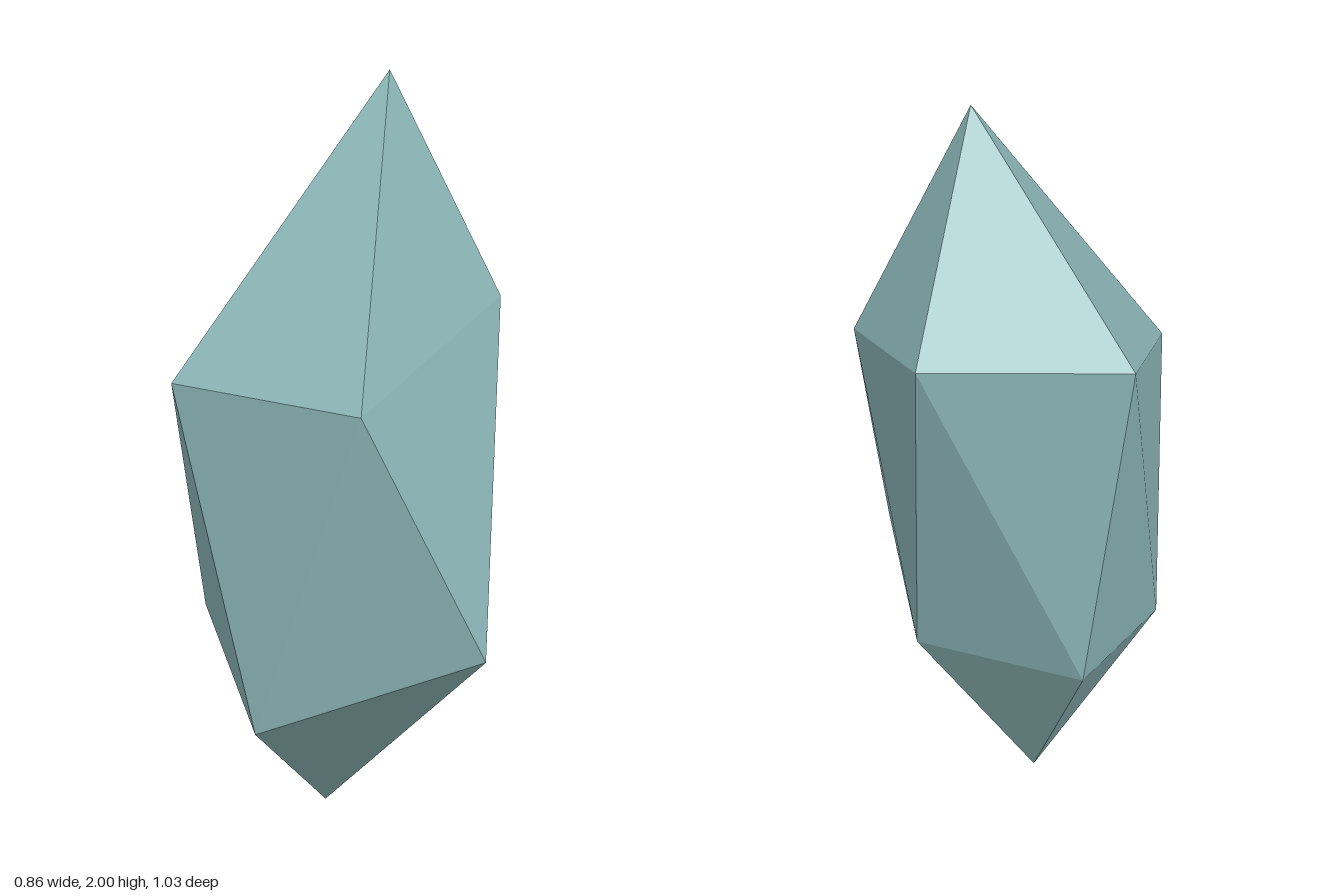
import * as THREE from 'three';

// Crystal: two tips joined by two staggered five-corner rings
export function createModel() {
  const top = [0.035, 2, -0.15];
  const bottom = [-0.1, 0, 0.01];
  const upper = [
    [0.155, 1.2, 0.515], [0.34, 1.415, -0.16], [0.08, 1.475, -0.515],
    [-0.4, 1.44, -0.33], [-0.37, 1.237, 0.4],
  ];
  const lower = [
    [0.43, 0.58, 0.37], [0.166, 0.57, -0.267], [-0.295, 0.557, -0.327],
    [-0.432, 0.555, 0.055], [-0.132, 0.37, 0.48],
  ];

  // Each sector: top facet, two side facets, bottom facet
  const points = [];
  for (let i = 0; i < 5; i++) {
    const j = (i + 1) % 5;
    points.push(
      top, upper[i], upper[j],
      upper[i], lower[i], upper[j],
      lower[i], lower[j], upper[j],
      bottom, lower[j], lower[i],
    );
  }

  const geometry = new THREE.BufferGeometry();
  geometry.setAttribute('position', new THREE.Float32BufferAttribute(points.flat(), 3));
  geometry.computeVertexNormals();

  const crystal = new THREE.Mesh(
    geometry,
    new THREE.MeshStandardMaterial({ color: 0x8ab4b5, flatShading: true }),
  );
  crystal.name = 'crystal';

  const group = new THREE.Group();
  group.name = 'crystalShard';
  group.add(crystal);
  return group;
}
